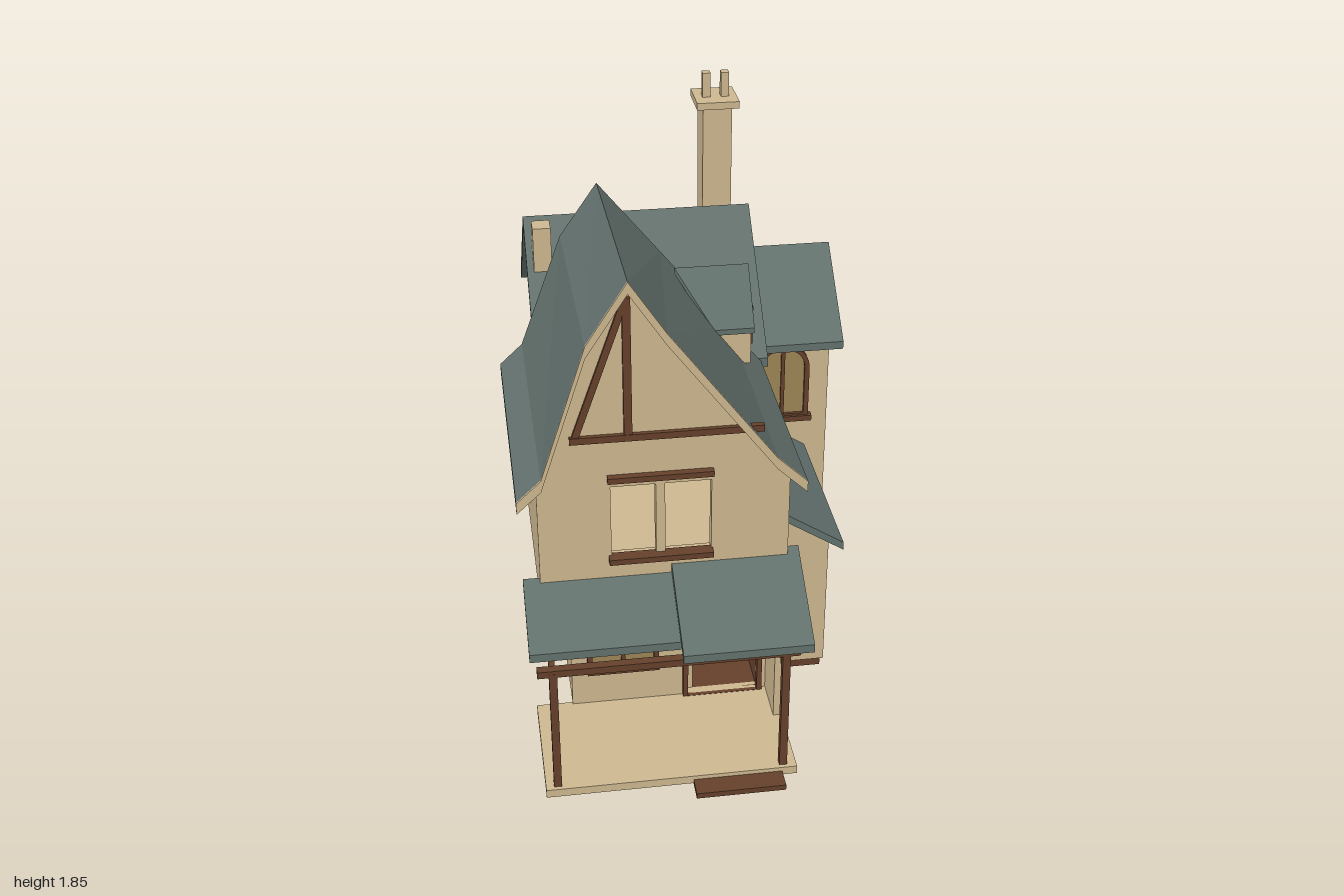
import * as THREE from 'three';

const mat = (name, color) => Object.assign(new THREE.MeshStandardMaterial({ color }), { name });

export function createModel() {
  const house = new THREE.Group();
  house.name = 'cottage';
  const plaster = mat('plaster', 0xcdb78f);
  const slate = mat('slate', 0x63716d);
  const timber = mat('timber', 0x65402b);
  const glass = mat('glass', 0x9d8657);

  const add = (name, geo, material, parent = house) => {
    const m = new THREE.Mesh(geo, material);
    m.name = name;
    parent.add(m);
    return m;
  };

  // Box given by its limits on each axis
  const box = (name, material, x0, x1, y0, y1, z0, z1, parent) => {
    const m = add(name, new THREE.BoxGeometry(x1 - x0, y1 - y0, z1 - z0), material, parent);
    m.position.set((x0 + x1) / 2, (y0 + y1) / 2, (z0 + z1) / 2);
    return m;
  };

  // Straight timber between two points
  const beam = (name, a, b, w) => {
    const p = new THREE.Vector3(...a), q = new THREE.Vector3(...b);
    const m = add(name, new THREE.BoxGeometry(w, p.distanceTo(q), w), timber);
    m.position.copy(p).add(q).multiplyScalar(0.5);
    m.quaternion.setFromUnitVectors(new THREE.Vector3(0, 1, 0), q.sub(p).normalize());
  };

  // Rectangular or round-headed outline, centred on cx and standing on y0
  const outline = (w, h, arched, cx = 0, y0 = 0) => {
    const s = new THREE.Shape(), r = w / 2;
    s.moveTo(cx - r, y0);
    s.lineTo(cx + r, y0);
    if (arched) {
      s.lineTo(cx + r, y0 + h - r);
      s.absarc(cx, y0 + h - r, r, 0, Math.PI, false);
    } else {
      s.lineTo(cx + r, y0 + h);
      s.lineTo(cx - r, y0 + h);
    }
    s.closePath();
    return s;
  };
  const extrude = (shape, depth) =>
    new THREE.ExtrudeGeometry(shape, { depth, bevelEnabled: false, curveSegments: 10 });

  // Wall across x, extruded from z0 forwards
  const frontWall = (name, pts, z0, depth, holes = []) => {
    const s = new THREE.Shape(pts.map(p => new THREE.Vector2(...p)));
    s.holes.push(...holes);
    add(name, extrude(s, depth), plaster).position.z = z0;
  };
  // Wall along z, points given as [z, y], extruded from x0 towards +x
  const sideWall = (name, pts, x0, depth) => {
    const s = new THREE.Shape(pts.map(([z, y]) => new THREE.Vector2(-z, y)));
    const m = add(name, extrude(s, depth), plaster);
    m.rotation.y = Math.PI / 2;
    m.position.x = x0;
  };

  // Slab of vertical thickness t stretched between two open 3D sections
  const loft = (name, material, a, b, t) => {
    const low = s => s.map(([x, y, z]) => [x, y - t, z]);
    const la = [...a, ...low(a).reverse()], lb = [...b, ...low(b).reverse()];
    const n = la.length, tris = [];
    const quad = (p, q, r, s) => tris.push([p, q, r], [p, r, s]);
    for (let i = 0; i < n; i++) {
      const j = (i + 1) % n;
      quad(la[i], la[j], lb[j], lb[i]);
    }
    for (let i = 0; i < a.length - 1; i++) {
      const k = n - 1 - i;
      quad(la[k], la[k - 1], la[i + 1], la[i]);
      quad(lb[i], lb[i + 1], lb[k - 1], lb[k]);
    }
    // Turn the faces outwards using the signed volume
    const V = p => new THREE.Vector3(...p);
    const volume = tris.reduce((v, [p, q, r]) => v + V(p).dot(V(q).cross(V(r))), 0);
    if (volume < 0) tris.forEach(f => f.reverse());
    const geo = new THREE.BufferGeometry();
    geo.setAttribute('position', new THREE.Float32BufferAttribute(tris.flat(2), 3));
    geo.computeVertexNormals();
    return add(name, geo, material);
  };
  const roofAlongX = (name, pts, x0, x1, t) =>
    loft(name, slate, pts.map(([z, y]) => [x0, y, z]), pts.map(([z, y]) => [x1, y, z]), t);

  // Framed window facing +z before being turned
  const makeWindow = (name, w, h, arched, pos, turn = 0, sill = false) => {
    const g = new THREE.Group();
    g.name = name;
    const f = 0.018;
    const ring = outline(w, h, arched);
    ring.holes.push(outline(w - 2 * f, h - 2 * f, arched, 0, f));
    add('frame', extrude(ring, 0.018), timber, g);
    add('pane', extrude(outline(w - 2 * f, h - 2 * f, arched, 0, f), 0.006), glass, g);
    box('mullion', timber, -0.007, 0.007, f, h - f, 0, 0.014, g);
    if (sill) box('sill', timber, -w / 2 - 0.012, w / 2 + 0.012, -0.012, 0.01, 0, 0.028, g);
    g.position.set(...pos);
    g.rotation.y = turn;
    house.add(g);
  };

  // Plinth
  box('plinth', timber, -0.455, 0.26, 0, 0.035, -0.98, 0.495);
  box('bayPlinth', timber, 0.25, 0.45, 0, 0.035, -0.28, 0.36);
  box('wingPlinth', timber, 0.25, 0.57, 0, 0.035, -0.87, -0.3);

  // Ground floor
  const base = 0.035;
  frontWall('entranceWall', [[-0.465, base], [0.25, base], [0.25, 0.57], [-0.465, 0.57]], 0.47, 0.03,
    [outline(0.25, 0.45, true, 0.065, base + 0.001)]);
  const arch = outline(0.28, 0.465, true, 0.065, base);
  arch.holes.push(outline(0.245, 0.446, true, 0.065, base + 0.001));
  add('doorArch', extrude(arch, 0.03), timber).position.z = 0.485;
  box('doorReveal', plaster, -0.075, -0.035, base, 0.47, 0.3, 0.47);
  box('openDoor', timber, 0.19, 0.21, base, 0.46, 0.24, 0.47);
  makeWindow('porchWindow', 0.25, 0.285, false, [-0.285, 0.165, 0.5]);
  sideWall('leftWall', [[0.5, base], [-0.98, base], [-0.98, 1.0], [-0.56, 1.41], [-0.17, 1.03], [-0.17, 0.57], [0.5, 0.57]], -0.465, 0.03);
  sideWall('rightWall', [[0.66, base], [-0.2, base], [-0.2, 1.04], [0.66, 1.04]], 0.22, 0.03);

  // Rear range and lower side wing
  frontWall('backWall', [[-0.465, base], [0.28, base], [0.28, 1.05], [-0.465, 1.05]], -1, 0.03,
    [outline(0.24, 0.465, false, 0.06, base + 0.001)]);
  sideWall('rearGable', [[-0.17, base], [-0.98, base], [-0.98, 1.0], [-0.56, 1.41], [-0.17, 1.03]], 0.25, 0.03);
  box('rearReturn', plaster, 0.22, 0.28, base, 1.03, -0.2, -0.17);
  sideWall('sideWing', [[-0.29, base], [-0.88, base], [-0.88, 1.01], [-0.54, 1.25], [-0.29, 1.02]], 0.27, 0.32);
  roofAlongX('rearRoof', [[-0.12, 1.025], [-0.56, 1.44], [-0.965, 1.04]], -0.51, 0.325, 0.035);
  roofAlongX('wingRoof', [[-0.235, 1.01], [-0.54, 1.275], [-0.925, 1.01]], 0.27, 0.63, 0.03);
  makeWindow('wingFrontWindow', 0.2, 0.31, true, [0.415, 0.68, -0.29], 0, true);
  makeWindow('wingSideWindow', 0.2, 0.26, true, [0.59, 0.197, -0.497], Math.PI / 2, true);

  // Lean-to bay
  frontWall('bay', [[0.25, base], [0.46, base], [0.46, 0.56], [0.25, 0.7]], -0.29, 0.66);
  const bayRoof = z => [[0.25, 0.725, z], [0.505, 0.56, z]];
  loft('bayRoof', slate, bayRoof(0.405), bayRoof(-0.27), 0.03);
  makeWindow('bayWindow', 0.29, 0.285, false, [0.46, 0.165, 0.115], Math.PI / 2);

  // Upper floor
  box('upperFloor', plaster, -0.565, 0.25, 0.555, 0.585, -0.14, 0.66);
  box('rearFloor', plaster, -0.44, 0.25, 0.555, 0.585, -0.97, -0.14);
  box('jettyBeam', timber, 0.225, 0.262, 0.555, 0.585, 0.41, 0.68);
  box('frontJettyBeam', timber, -0.565, 0.25, 0.555, 0.585, 0.655, 0.675);
  const upper = [[-0.565, 0.585], [0.25, 0.585], [0.25, 1.03]];
  frontWall('frontGable', [...upper, [0.19, 1.085], [-0.15, 1.54], [-0.268, 1.72], [-0.39, 1.51], [-0.54, 1.08], [-0.565, 1.04]], 0.63, 0.035,
    [outline(0.145, 0.265, false, -0.2575, 0.76), outline(0.15, 0.265, false, -0.08, 0.76)]);
  frontWall('backGable', [...upper, [0.18, 1.08], [-0.06, 1.38], [-0.268, 1.66], [-0.39, 1.46], [-0.54, 1.07], [-0.565, 1.04]], -0.17, 0.03);
  box('upperLeftWall', plaster, -0.565, -0.535, 0.585, 1.05, -0.15, 0.64);
  box('windowHead', timber, -0.34, 0, 1.05, 1.07, 0.66, 0.69);
  box('windowSill', timber, -0.34, 0, 0.745, 0.765, 0.65, 0.695);
  makeWindow('upperLeftWindow', 0.27, 0.27, false, [-0.565, 0.735, 0.13], -Math.PI / 2);
  const surround = add('windowSurround', extrude(outline(0.24, 0.275, true), 0.004), plaster);
  surround.position.set(0.25, 0.745, 0.117);
  surround.rotation.y = Math.PI / 2;
  makeWindow('upperRightWindow', 0.2, 0.25, true, [0.253, 0.757, 0.1], Math.PI / 2);

  // Gable timbers
  box('gableTie', timber, -0.455, 0.16, 1.197, 1.22, 0.66, 0.68);
  box('gablePost', timber, -0.284, -0.258, 1.21, 1.69, 0.66, 0.678);
  beam('gableBrace', [-0.44, 1.21, 0.665], [-0.278, 1.67, 0.665], 0.022);

  // Steep flared front roof with its bargeboard
  const frontProfile = [[-0.63, 1.015], [-0.55, 1.09], [-0.4, 1.55], [-0.268, 1.755], [-0.15, 1.575], [0.2, 1.11], [0.3, 1.015]];
  const backProfile = [[-0.63, 1.015], [-0.55, 1.09], [-0.4, 1.5], [-0.268, 1.69], [-0.05, 1.42], [0.2, 1.11], [0.3, 1.015]];
  const at = (profile, z) => profile.map(([x, y]) => [x, y, z]);
  loft('frontRoof', slate, at(frontProfile, 0.698), at(backProfile, -0.23), 0.035);
  loft('bargeboard', plaster, at(frontProfile, 0.705), at(frontProfile, 0.698), 0.04);

  // Dormer
  sideWall('dormer', [[0.045, 1.1], [-0.215, 1.1], [-0.215, 1.235], [-0.085, 1.4], [0.045, 1.235]], 0.05, 0.18);
  loft('dormerRoof', slate,
    [[0.24, 1.24, 0.055], [0.24, 1.42, -0.085], [0.24, 1.24, -0.225]],
    [[0.1, 1.24, 0.055], [-0.02, 1.42, -0.085], [0.1, 1.24, -0.225]], 0.02);
  makeWindow('dormerWindow', 0.13, 0.145, false, [0.23, 1.14, -0.085], Math.PI / 2);

  // Chimneys
  box('chimneyStack', plaster, 0.19, 0.3, 0.95, 1.73, -0.93, -0.8);
  box('chimneyCap', plaster, 0.165, 0.325, 1.73, 1.757, -0.95, -0.78);
  for (const x of [0.21, 0.28]) box('chimneyPot', plaster, x - 0.015, x + 0.015, 1.757, 1.85, -0.877, -0.845);
  box('smallChimney', plaster, -0.485, -0.42, base, 1.457, -0.475, -0.4);

  // Porch
  box('porchFloor', plaster, -0.59, 0.25, 0.005, 0.035, 0.49, 0.93);
  box('porchStep', timber, -0.1, 0.2, 0, 0.02, 0.9, 1);
  box('porchBeam', timber, -0.6, 0.25, 0.487, 0.512, 0.885, 0.915);
  for (const x of [-0.55, 0.205]) {
    beam('porchPost', [x, 0.035, 0.903], [x, 0.5, 0.903], 0.026);
    beam('porchBrace', [x, 0.4, 0.9], [x, 0.56, 0.785], 0.02);
  }
  roofAlongX('porchRoofLeft', [[0.865, 0.545], [0.65, 0.69]], -0.62, -0.13, 0.03);
  roofAlongX('porchRoofRight', [[0.94, 0.545], [0.64, 0.728]], -0.135, 0.29, 0.03);

  return house;
}
